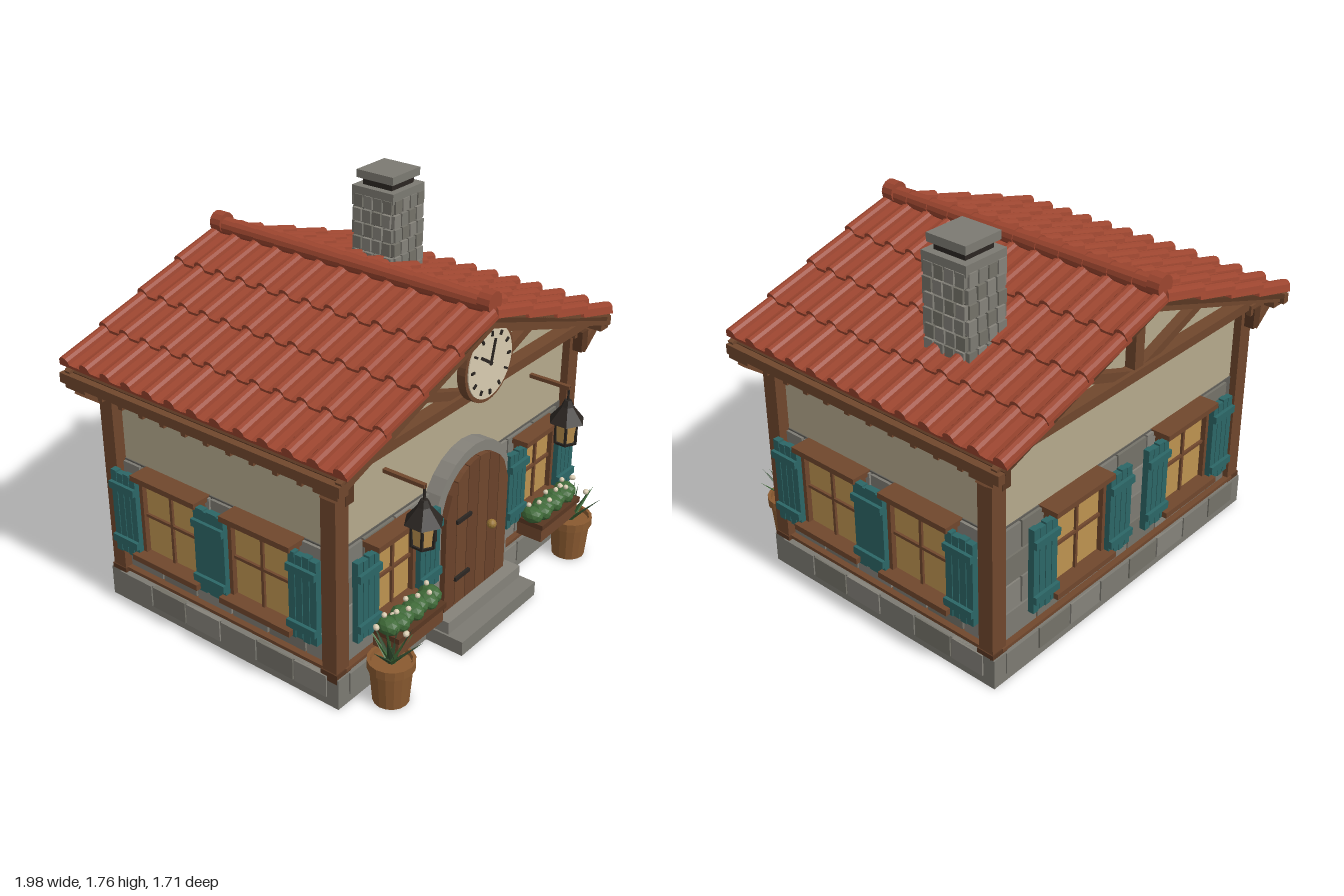
import * as THREE from 'three';
import { toCreasedNormals } from 'three/addons/utils/BufferGeometryUtils.js';

const mats = {};
const mat = (c) => (mats[c] ??= new THREE.MeshStandardMaterial({ color: c, flatShading: true }));
const WOOD = 0x70472d, DARKWOOD = 0x593722, PLASTER = 0xb5a98c, TEAL = 0x2c6666, AMBER = 0xbd9350;
const IRON = 0x2b2622, TILE = 0x9c452f, CLAY = 0x8a5a30, CREAM = 0xd8cbb0;
const GREYS = [0x7c7a72, 0x85827a, 0x747269], LEAF = [0x2f4a2e, 0x3f6a38];
const DEPTH = 0.615, WIDTH = 0.835; // half extents of the walls

function add(parent, name, geo, color, x = 0, y = 0, z = 0) {
  const m = new THREE.Mesh(geo, mat(color));
  m.name = name;
  m.position.set(x, y, z);
  parent.add(m);
  return m;
}
const box = (p, name, c, w, h, d, x, y, z) => add(p, name, new THREE.BoxGeometry(w, h, d), c, x, y, z);
// box given by its lower and upper limits
const span = (p, name, c, x0, x1, y0, y1, z0, z1) =>
  box(p, name, c, x1 - x0, y1 - y0, z1 - z0, (x0 + x1) / 2, (y0 + y1) / 2, (z0 + z1) / 2);
// timber between two points in the xy plane
function beam(p, name, x1, y1, x2, y2, t, d, z, c = WOOD) {
  const b = box(p, name, c, Math.hypot(x2 - x1, y2 - y1), t, d, (x1 + x2) / 2, (y1 + y2) / 2, z);
  b.rotation.z = Math.atan2(y2 - y1, x2 - x1);
}
function group(parent, name, x = 0, y = 0, z = 0, ry = 0) {
  const g = new THREE.Group();
  g.name = name;
  g.position.set(x, y, z);
  g.rotation.y = ry;
  parent.add(g);
  return g;
}
const shapeOf = (pts) => new THREE.Shape(pts.map((p) => new THREE.Vector2(...p)));
const extrude = (shape, depth) => new THREE.ExtrudeGeometry(shape, { depth, bevelEnabled: false, curveSegments: 6 });

// staggered stone blocks on a wall face at local z
function stones(p, half, y0, rows, h, z, stagger = 0.1) {
  for (let r = 0; r < rows; r++)
    for (let x = -half - (r % 2) * stagger, i = 0; x < half; x += 0.208, i++) {
      const a = Math.max(x, -half), b = Math.min(x + 0.198, half);
      if (b - a > 0.03) span(p, 'stoneBlock', GREYS[(i * 2 + r) % 3], a, b, y0 + r * h, y0 + (r + 1) * h - 0.01, z - 0.01, z + 0.012);
    }
}

function shutter(p, x, y0, y1, w) {
  const g = group(p, 'shutter', x, 0, 0.06), n = 4;
  for (let i = 0; i < n; i++) {
    const off = i % 2 ? 0.006 : 0;
    span(g, 'shutterPlank', TEAL, -w / 2 + (i * w) / n + 0.002, -w / 2 + ((i + 1) * w) / n - 0.002, y0 + off, y1 - off, 0, 0.03);
  }
  for (const y of [y0 + 0.07, y1 - 0.07]) box(g, 'shutterBatten', TEAL, w, 0.035, 0.018, 0, y, 0.037);
}

function windowUnit(p, x, hw, y0, y1, sw) {
  const g = group(p, 'window', x), f = 0.022, h = y1 - y0, ym = (y0 + y1) / 2;
  box(g, 'pane', AMBER, hw * 2, h, 0.04, 0, ym, 0.02);
  for (const s of [-1, 1]) {
    box(g, 'frameSide', WOOD, f, h, 0.065, s * (hw + f / 2), ym, 0.032);
    shutter(g, s * (hw + f + sw / 2 - 0.004), y0 - 0.035, y1 + 0.005, sw);
  }
  box(g, 'lintel', WOOD, hw * 2 + 0.07, 0.026, 0.1, 0, y1 + 0.01, 0.05);
  box(g, 'sill', WOOD, hw * 2 + 0.08, 0.028, 0.115, 0, y0 - 0.014, 0.057);
  box(g, 'muntin', WOOD, 0.014, h, 0.05, 0, ym, 0.027);
  box(g, 'muntin', WOOD, hw * 2, 0.014, 0.05, 0, ym, 0.027);
  return g;
}

function planter(p) {
  const g = group(p, 'planter');
  span(g, 'planterBox', WOOD, -0.155, 0.155, 0.22, 0.29, 0.07, 0.2);
  span(g, 'planterRim', DARKWOOD, -0.165, 0.165, 0.29, 0.315, 0.065, 0.21);
  for (let i = 0; i < 7; i++) {
    const x = -0.145 + i * 0.048;
    add(g, 'shrub', new THREE.IcosahedronGeometry(0.04, 1), LEAF[1], x, 0.342, 0.14 + (i % 2) * 0.015).scale.z = 1.4;
    add(g, 'blossom', new THREE.IcosahedronGeometry(0.012, 1), CREAM, x, 0.386, 0.12 + (i % 3) * 0.025);
  }
}

function lantern(p, x) {
  const g = group(p, 'lantern', x, 0, 0.2);
  const hex = (name, r1, r2, h, y, c) => add(g, name, new THREE.CylinderGeometry(r1, r2, h, 6), c, 0, y, 0);
  span(g, 'lanternArm', WOOD, -0.01, 0.01, 0.945, 0.962, -0.2, 0.005);
  hex('hook', 0.006, 0.006, 0.1, 0.91, IRON);
  hex('lanternRoof', 0.025, 0.085, 0.075, 0.828, IRON);
  hex('lanternCap', 0.016, 0.03, 0.03, 0.878, IRON);
  hex('lanternGlass', 0.058, 0.045, 0.1, 0.74, AMBER);
  hex('lanternBase', 0.056, 0.05, 0.014, 0.685, IRON);
  for (let i = 0; i < 6; i++) {
    const a = (i * Math.PI) / 3;
    box(g, 'lanternBar', IRON, 0.01, 0.11, 0.01, 0.052 * Math.sin(a), 0.74, 0.052 * Math.cos(a));
  }
}

function pottedPlant(p, x, z) {
  const g = group(p, 'pottedPlant', x, 0, z);
  const prof = [[0, 0], [0.078, 0], [0.092, 0.165], [0.102, 0.165], [0.102, 0.205], [0.088, 0.205], [0.084, 0.185], [0, 0.185]];
  add(g, 'pot', new THREE.LatheGeometry(prof.map((q) => new THREE.Vector2(...q)), 16), CLAY);
  for (let i = 0; i < 18; i++) {
    const leaf = add(g, 'leaf', new THREE.ConeGeometry(0.02, 0.19, 4).translate(0, 0.095, 0), LEAF[i % 2], 0, 0.18, 0);
    leaf.rotation.set(0.15 + (i % 3) * 0.32, i * 2.4, 0, 'YXZ');
    leaf.scale.z = 0.45;
    if (i % 2) add(g, 'blossom', new THREE.IcosahedronGeometry(0.013, 1), CREAM, 0.07 * Math.sin(i * 2.1), 0.355 + (i % 3) * 0.012, 0.07 * Math.cos(i * 2.1));
  }
}

function door(p) {
  const g = group(p, 'door'), R = 0.235, cy = 0.575;
  const arch = (path, r, y) => path.moveTo(-r, y).lineTo(r, y).lineTo(r, cy).absarc(0, cy, r, 0, Math.PI, false).lineTo(-r, y);
  const frame = arch(new THREE.Shape(), 0.285, 0.13);
  frame.holes.push(arch(new THREE.Path(), R, 0.14));
  add(g, 'doorArch', extrude(frame, 0.075), GREYS[1]);
  const top = (x) => cy + Math.sqrt(Math.max(0, R * R - x * x));
  for (let i = 0; i < 6; i++) {
    const a = -R + (i * R) / 3 + 0.002, b = a + R / 3 - 0.004, m = (a + b) / 2;
    add(g, 'doorPlank', extrude(shapeOf([[a, 0.13], [b, 0.13], [b, top(b)], [m, top(m)], [a, top(a)]]), 0.1), i % 2 ? WOOD : 0x6a422a);
  }
  for (const y of [0.27, 0.56]) span(g, 'hinge', IRON, -0.165, -0.06, y - 0.009, y + 0.009, 0.1, 0.112);
  add(g, 'knob', new THREE.SphereGeometry(0.022, 12, 8), 0x9a7636, 0.09, 0.435, 0.118);
  span(g, 'upperStep', GREYS[1], -0.28, 0.28, 0.07, 0.13, 0, 0.16);
  span(g, 'lowerStep', GREYS[0], -0.29, 0.29, 0, 0.07, 0, 0.24);
}

function clock(p) {
  const g = group(p, 'clock', 0, 1.26, 0.105);
  add(g, 'clockRim', new THREE.CylinderGeometry(0.175, 0.175, 0.04, 32).rotateX(Math.PI / 2), WOOD);
  add(g, 'clockFace', new THREE.CylinderGeometry(0.158, 0.158, 0.01, 32).rotateX(Math.PI / 2), CREAM, 0, 0, 0.02);
  const bar = (name, a, r0, r1, w) => {
    const b = add(g, name, new THREE.BoxGeometry(w, r1 - r0, 0.008).translate(0, (r0 + r1) / 2, 0), IRON, 0, 0, 0.028);
    b.rotation.z = -a;
  };
  for (let i = 0; i < 12; i++) bar('hourMark', (i * Math.PI) / 6, 0.12, 0.142, 0.01);
  bar('hourHand', -1.0, -0.01, 0.085, 0.013);
  bar('minuteHand', 0.25, -0.01, 0.105, 0.01);
}

// timber truss of a gable, on a wall face
function truss(p) {
  const g = group(p, 'gableTruss');
  box(g, 'tieBeam', WOOD, 1.96, 0.045, 0.065, 0, 1.1, 0.035);
  box(g, 'kingPost', WOOD, 0.06, 0.3, 0.05, 0, 1.26, 0.03);
  for (const s of [-1, 1]) {
    beam(g, 'principalRafter', 0, 1.4, s * 0.93, 1.09, 0.05, 0.05, 0.028);
    beam(g, 'strut', s * 0.04, 1.1, s * 0.46, 1.25, 0.04, 0.045, 0.026);
    beam(g, 'bargeBoard', 0, 1.445, s * 0.97, 1.115, 0.055, 0.03, 0.125);
    beam(g, 'bracket', s * 0.86, 0.985, s * 0.97, 1.07, 0.045, 0.045, 0.06);
    box(g, 'plateEnd', WOOD, 0.065, 0.055, 0.12, s * 0.955, 1.095, 0.07);
    box(g, 'bracketBlock', DARKWOOD, 0.05, 0.1, 0.05, s * 0.86, 1.03, 0.06);
  }
}

function roof(p) {
  const g = group(p, 'roof', 0, 0, -0.01), half = 0.785, pitch = 0.125, th = Math.atan2(0.33, 0.96);
  // pantile cross-section: narrow rolls with shallow pans between
  const pts = [[-half, 0]];
  for (let i = 0; i <= 12; i++) {
    const c = (i - 6) * pitch;
    for (let k = 0; k <= 6; k++) pts.push([c - 0.03 * Math.cos((k * Math.PI) / 6), 0.016 + 0.032 * Math.sin((k * Math.PI) / 6)]);
    if (i < 12) pts.push([c + pitch / 2, 0.011]);
  }
  pts.push([half, 0.016], [half, 0]);
  const row = toCreasedNormals(extrude(shapeOf(pts), 0.275), 0.7).rotateY(Math.PI / 2);
  for (const ry of [0, Math.PI]) {
    const h = group(g, 'roofSlope', 0, 0, 0, ry);
    for (let k = 0; k < 4; k++) {
      const s = k * 0.247, m = add(h, 'tileRow', row, TILE, s * Math.cos(th), 1.465 - s * Math.sin(th), 0);
      m.rotation.z = -th + 0.07;
    }
    beam(h, 'roofBoards', 0, 1.452, 0.955, 1.125, 0.02, 1.53, 0, DARKWOOD);
    span(h, 'eaveBeam', WOOD, 0.955, 0.99, 1.085, 1.13, -0.765, 0.765);
    for (let i = 0; i < 12; i++) box(h, 'rafterTail', WOOD, 0.15, 0.05, 0.025, 0.89, 1.075, (i - 5.5) * 0.122);
  }
  // ridge caps, each flaring over the next
  for (let i = 0; i < 12; i++)
    add(g, 'ridgeCap', new THREE.CylinderGeometry(0.037, 0.043, 0.132, 12).rotateX(Math.PI / 2), TILE, 0, 1.515, (i - 5.5) * 0.125);
  for (const s of [-1, 1])
    add(g, 'ridgeEnd', new THREE.CylinderGeometry(0.049, 0.049, 0.06, 12).rotateX(Math.PI / 2), TILE, 0, 1.527, s * 0.735);
}

function chimney(p) {
  const g = group(p, 'chimney', 0.52, 0, -0.24);
  span(g, 'chimneyCore', 0x5c5a54, -0.105, 0.105, 1.2, 1.65, -0.105, 0.105);
  for (let f = 0; f < 4; f++) {
    const s = group(g, 'chimneyFace', 0, 0, 0, (f * Math.PI) / 2);
    for (let r = 0; r < 6; r++)
      for (let i = 0; i < 4; i++)
        box(s, 'chimneyStone', GREYS[(r + i * 2 + f) % 3], 0.047, 0.06, 0.03, (i - 1.5) * 0.056 + (r % 2 ? 0.004 : -0.004), 1.285 + r * 0.068, 0.108);
  }
  box(g, 'chimneyCollar', GREYS[0], 0.236, 0.05, 0.236, 0, 1.667, 0);
  box(g, 'chimneyNeck', IRON, 0.165, 0.04, 0.165, 0, 1.708, 0);
  box(g, 'chimneyTop', GREYS[0], 0.206, 0.038, 0.206, 0, 1.745, 0);
}

export function createModel() {
  const model = new THREE.Group();
  model.name = 'cottage';
  const house = group(model, 'house', 0, 0, -0.055);

  // plinth, wall body with gables, mortar backing for the stone courses
  box(house, 'plinth', GREYS[0], 1.79, 0.145, 1.33, 0, 0.0725, 0);
  const body = shapeOf([[-WIDTH, 0.14], [WIDTH, 0.14], [WIDTH, 1.13], [0, 1.425], [-WIDTH, 1.13]]);
  add(house, 'plasterWalls', extrude(body, DEPTH * 2), PLASTER, 0, 0, -DEPTH);
  box(house, 'mortar', 0x5f5d57, WIDTH * 2 + 0.01, 0.575, DEPTH * 2 + 0.01, 0, 0.43, 0);
  for (const x of [-1, 1]) for (const z of [-1, 1]) {
    box(house, 'cornerPost', WOOD, 0.08, 0.96, 0.075, x * 0.85, 0.6, z * 0.615);
    box(house, 'postFoot', DARKWOOD, 0.09, 0.045, 0.085, x * 0.85, 0.145, z * 0.615);
  }

  // four wall faces, each built facing its own +z
  ['frontWall', 'leftWall', 'backWall', 'rightWall'].forEach((name, i) => {
    const side = i % 2, half = side ? DEPTH : WIDTH, ry = (i * Math.PI) / 2, d = side ? WIDTH : DEPTH;
    const w = group(house, name, Math.sin(ry) * d, 0, Math.cos(ry) * d, ry);
    stones(w, half - 0.04, 0.17, 4, 0.1375, 0.006);
    stones(w, half - 0.01, 0.04, 1, 0.115, side ? 0.055 : 0.045);
    box(w, 'baseRail', WOOD, half * 2, 0.016, 0.05, 0, 0.16, 0.02);
    for (const s of [-1, 1]) {
      if (i === 0) {
        planter(windowUnit(w, s * 0.54, 0.12, 0.34, 0.68, 0.14));
        lantern(w, s * 0.54);
      } else windowUnit(w, s * (side ? 0.26 : 0.38), 0.155, 0.325, 0.695, 0.15);
    }
    if (!side) truss(w);
    if (i === 0) {
      door(w);
      clock(w);
    }
  });

  roof(house);
  chimney(model);
  for (const s of [-1, 1]) pottedPlant(model, s * 0.7, 0.73);
  return model;
}
